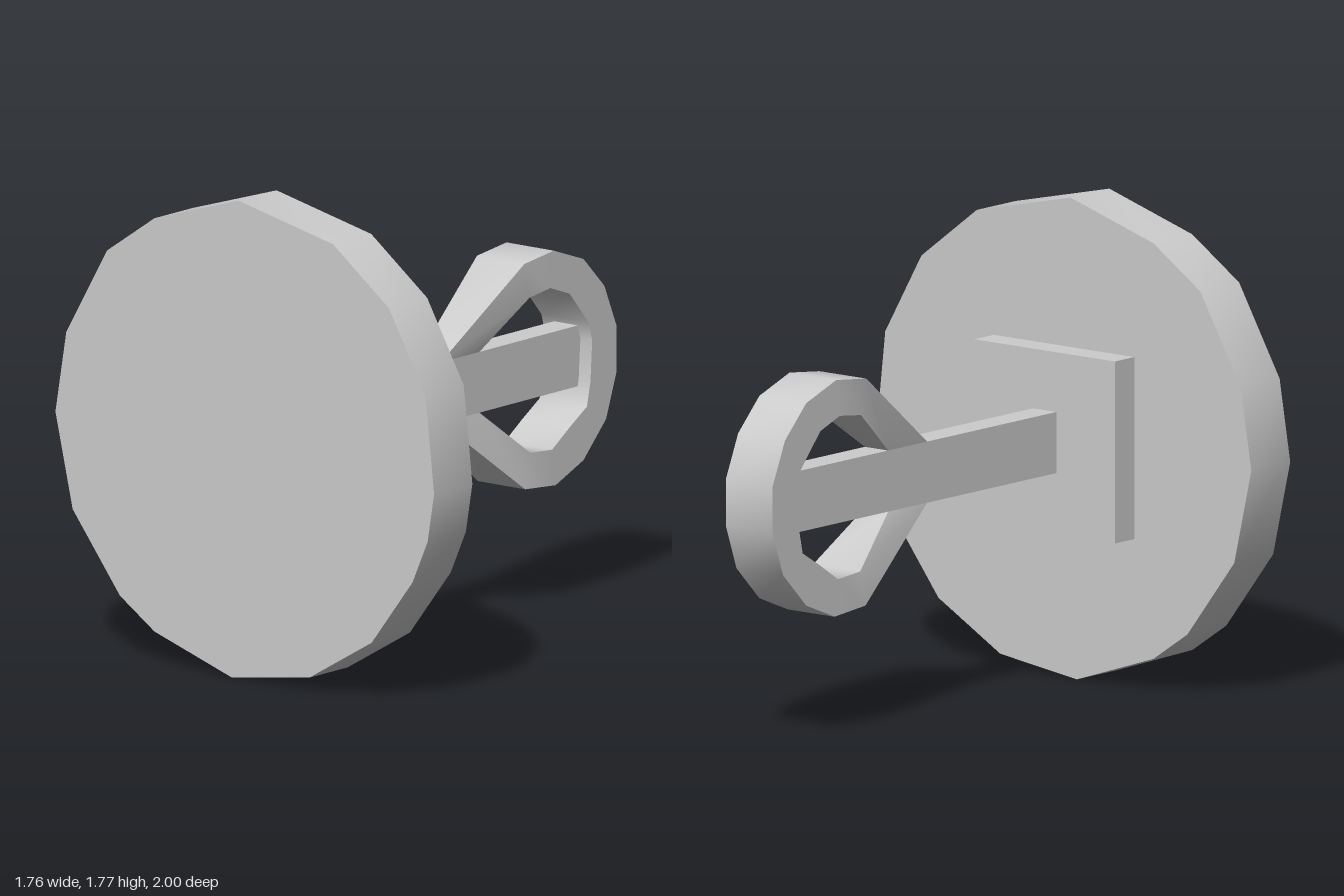
import * as THREE from 'three';
import { toCreasedNormals } from 'three/addons/utils/BufferGeometryUtils.js';

const CREASE = 0.9;
const material = new THREE.MeshStandardMaterial({ color: 0xcccccc });

function part(name, geometry) {
  const mesh = new THREE.Mesh(geometry, material);
  mesh.name = name;
  return mesh;
}

// Box given by its extents, centred on x = 0
function block(name, width, y0, y1, z0, z1) {
  const geometry = new THREE.BoxGeometry(width, y1 - y0, z1 - z0);
  geometry.translate(0, (y0 + y1) / 2, (z0 + z1) / 2);
  return part(name, geometry);
}

// Irregular round slab, outline in x, y
function discGeometry() {
  const outline = [
    [-0.03, 1.77], [0.41, 1.67], [0.67, 1.47], [0.84, 1.17], [0.88, 0.81], [0.85, 0.63],
    [0.78, 0.47], [0.59, 0.22], [0.3, 0.05], [-0.06, 0], [-0.42, 0.12], [-0.58, 0.23],
    [-0.8, 0.52], [-0.88, 0.87], [-0.83, 1.17], [-0.64, 1.5], [-0.42, 1.65],
  ];
  const shape = new THREE.Shape(outline.map(([x, y]) => new THREE.Vector2(x, y)));
  const geometry = new THREE.ExtrudeGeometry(shape, { depth: 0.22, bevelEnabled: false });
  geometry.translate(0, 0, 0.78);
  return toCreasedNormals(geometry, CREASE);
}

// Handle strap: sections of outer z, y and inner z, y, narrowing where it meets the rod
function loopGeometry() {
  const sections = [
    [-0.06, 1.0, -0.28, 1.0], [-0.47, 1.3, -0.5, 1.17], [-0.64, 1.32, -0.62, 1.185],
    [-0.81, 1.26, -0.73, 1.145], [-0.93, 1.14, -0.84, 1.02], [-1, 0.98, -0.86, 0.95],
    [-1, 0.81, -0.85, 0.8], [-0.94, 0.645, -0.83, 0.71], [-0.81, 0.515, -0.73, 0.65],
    [-0.65, 0.45, -0.63, 0.585], [-0.475, 0.465, -0.505, 0.595], [-0.06, 0.775, -0.28, 0.775],
  ];
  const last = sections.length - 1;
  const positions = [];
  const index = [];
  sections.forEach(([oz, oy, iz, iy], i) => {
    const w = i === 0 || i === last ? 0.055 : 0.11;
    positions.push(-w, oy, oz, w, oy, oz, w, iy, iz, -w, iy, iz);
    if (i === last) return;
    for (let k = 0; k < 4; k++) {
      const a = i * 4 + k;
      const b = i * 4 + ((k + 1) % 4);
      index.push(a, b, b + 4, a, b + 4, a + 4);
    }
  });
  // End caps against the rod
  const e = last * 4;
  index.push(0, 2, 1, 0, 3, 2, e, e + 1, e + 2, e, e + 2, e + 3);

  const geometry = new THREE.BufferGeometry();
  geometry.setAttribute('position', new THREE.Float32BufferAttribute(positions, 3));
  geometry.setIndex(index);
  return toCreasedNormals(geometry, CREASE);
}

export function createModel() {
  const model = new THREE.Group();
  model.name = 'discWithHandle';
  model.add(
    part('disc', discGeometry()),
    block('mountingPlate', 0.66, 0.55, 1.22, 0.67, 0.78),
    block('rod', 0.11, 0.775, 1.0, -0.88, 0.67),
    part('handleLoop', loopGeometry()),
  );
  return model;
}
